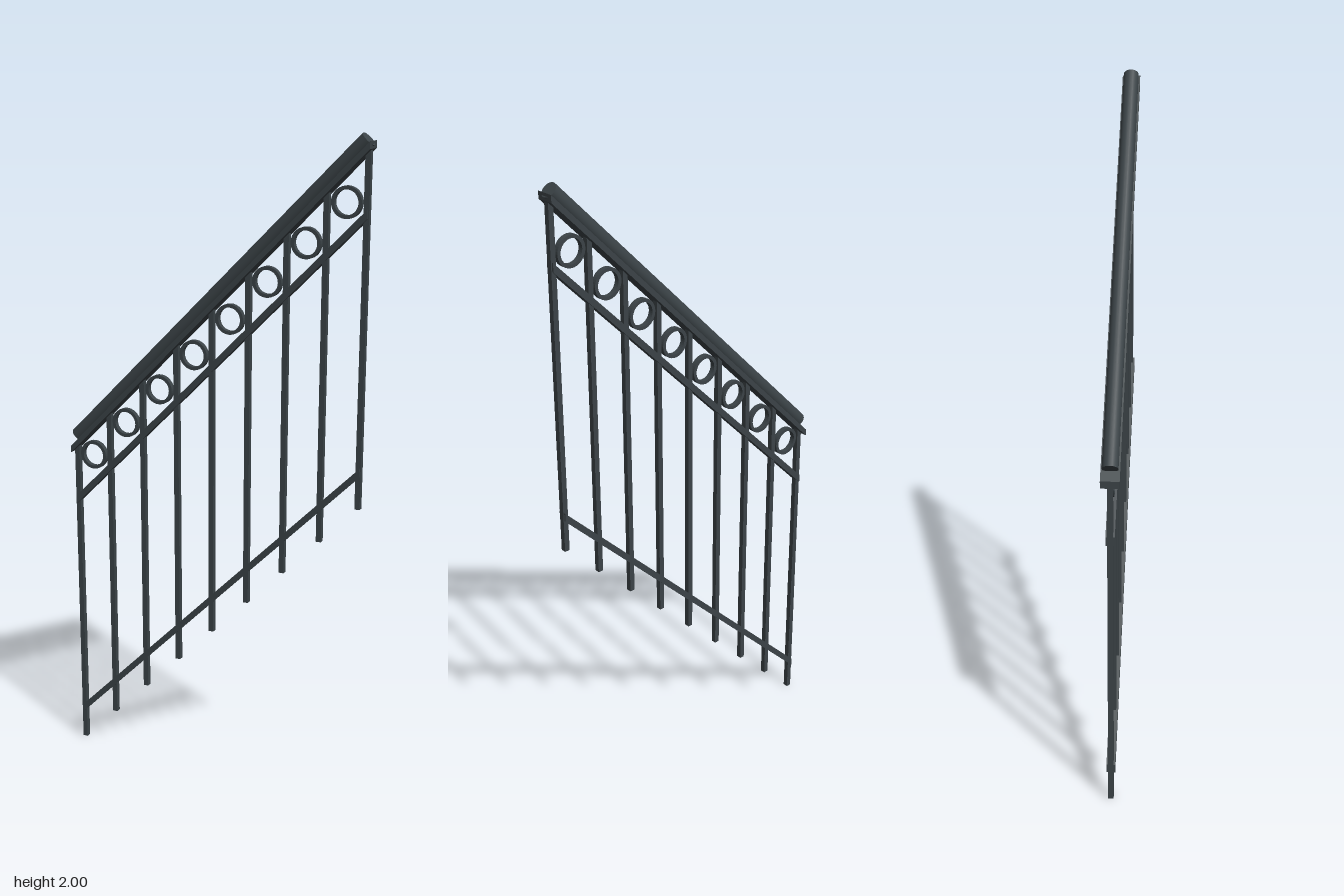
import * as THREE from 'three';

const iron = new THREE.MeshStandardMaterial({ color: 0x3b4347 });
iron.name = 'dark iron';

const PITCH = 0.1172; // spacing of the balusters; the stair rises 1:1
const HALF = 4 * PITCH;

export function createModel() {
  const group = new THREE.Group();
  const add = (name, geometry, x = 0, y = 0) => {
    const mesh = new THREE.Mesh(geometry, iron);
    mesh.name = name;
    mesh.position.set(x, y, 0);
    group.add(mesh);
    return mesh;
  };

  // Bar following the slope, with upright ends: y runs from x + low to x + high
  const slopedBar = (name, half, low, high, depth) => {
    const shape = new THREE.Shape([
      new THREE.Vector2(-half, low - half),
      new THREE.Vector2(half, low + half),
      new THREE.Vector2(half, high + half),
      new THREE.Vector2(-half, high - half),
    ]);
    const geometry = new THREE.ExtrudeGeometry(shape, { depth, bevelEnabled: false });
    add(name, geometry.translate(0, 0, -depth / 2));
  };

  slopedBar('lowerRail', HALF + 0.005, 0.563, 0.589, 0.026);
  slopedBar('upperRail', HALF + 0.005, 1.297, 1.323, 0.026);
  slopedBar('handrailPlate', 0.48, 1.477, 1.498, 0.054);

  // Rounded handrail, cut square to the slope
  const handrail = add('handrail', new THREE.CylinderGeometry(0.023, 0.023, 1.32, 20), 0, 1.516);
  handrail.rotation.z = -Math.PI / 4;

  // Balusters, each standing one step higher
  for (let i = -4; i <= 4; i++) {
    const x = i * PITCH;
    const bottom = x + HALF;
    const top = x + 1.49;
    add('baluster', new THREE.BoxGeometry(0.016, top - bottom, 0.016), x, (top + bottom) / 2);
  }

  // Decorative rings between the balusters
  const ring = new THREE.Shape().absarc(0, 0, 0.045, 0, Math.PI * 2);
  ring.holes.push(new THREE.Path().absarc(0, 0, 0.035, 0, Math.PI * 2, true));
  const ringGeometry = new THREE.ExtrudeGeometry(ring, { depth: 0.016, bevelEnabled: false, curveSegments: 20 });
  ringGeometry.translate(0, 0, -0.008);
  for (let i = -4; i < 4; i++) {
    const x = (i + 0.5) * PITCH;
    add('ring', ringGeometry, x, x + 1.402);
  }

  return group;
}
